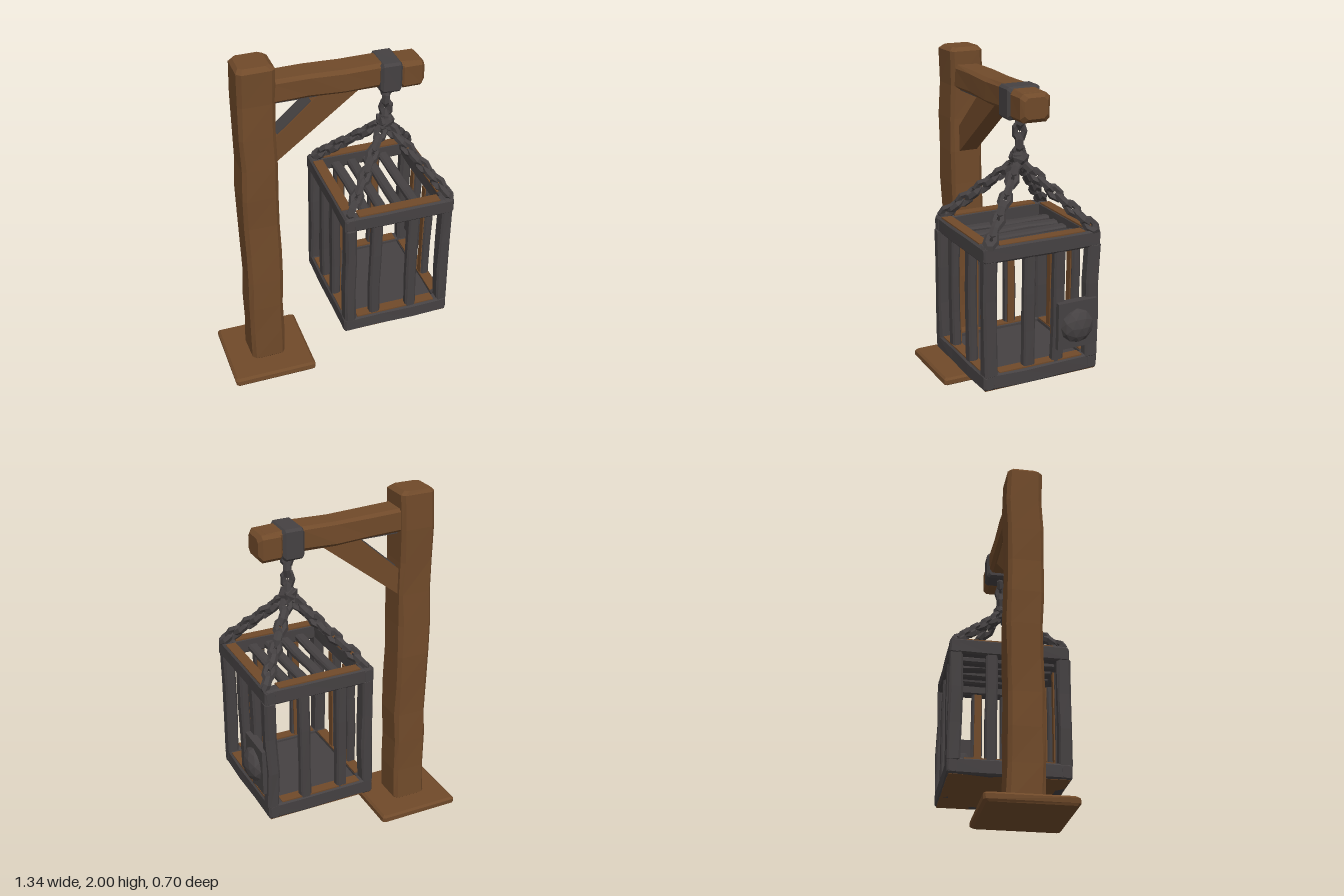
import * as THREE from 'three';

const wood = new THREE.MeshStandardMaterial({ color: 0x704a2a, flatShading: true });
wood.name = 'wood';
const iron = new THREE.MeshStandardMaterial({ color: 0x454142, flatShading: true });
iron.name = 'iron';

// Small seeded generator for the hand-hewn unevenness
let seed = 7;
const rnd = () => {
  seed = (seed * 16807) % 2147483647;
  return seed / 2147483647 - 0.5;
};

// Chamfered bar along local y, built from slightly uneven eight-sided sections
function hewnGeometry(w, h, d, wobble, chamfer) {
  const c = Math.min(chamfer, w * 0.3, d * 0.3, h * 0.3);
  const steps = Math.max(1, Math.round(h / 0.2));
  const levels = [[-h / 2, c]];
  for (let i = 0; i <= steps; i++) levels.push([-h / 2 + c + ((h - 2 * c) * i) / steps, 0]);
  levels.push([h / 2, c]);
  const pos = [], index = [];
  for (const [y, inset] of levels) {
    const x = w / 2 - inset, z = d / 2 - inset;
    const ox = rnd() * wobble, oz = rnd() * wobble;
    const ring = [[x, -z + c], [x, z - c], [x - c, z], [-x + c, z], [-x, z - c], [-x, -z + c], [-x + c, -z], [x - c, -z]];
    for (const [px, pz] of ring) pos.push(px + ox + rnd() * wobble * 0.5, y, pz + oz + rnd() * wobble * 0.5);
  }
  for (let j = 0; j < levels.length - 1; j++) {
    for (let i = 0; i < 8; i++) {
      const a = j * 8 + i, b = j * 8 + ((i + 1) % 8);
      index.push(a, a + 8, b, b, a + 8, b + 8);
    }
  }
  const top = (levels.length - 1) * 8;
  for (let i = 1; i < 7; i++) index.push(0, i, i + 1, top, top + i + 1, top + i);
  const g = new THREE.BufferGeometry();
  g.setAttribute('position', new THREE.Float32BufferAttribute(pos, 3));
  g.setIndex(index);
  g.computeVertexNormals();
  return g;
}

export function createModel() {
  const model = new THREE.Group();
  model.name = 'hangingCage';

  const add = (name, geometry, material, [x, y, z], parent = model) => {
    const m = new THREE.Mesh(geometry, material);
    m.name = name;
    m.position.set(x, y, z);
    parent.add(m);
    return m;
  };
  // Hewn bar given by its centre, world size and long axis
  const bar = (name, mat, axis, centre, [sx, sy, sz], wobble = 0.01, chamfer = 0.014, parent = model) => {
    const dims = { x: [sy, sx, sz], y: [sx, sy, sz], z: [sx, sz, sy] }[axis];
    const m = add(name, hewnGeometry(...dims, wobble, chamfer), mat, centre, parent);
    if (axis === 'x') m.rotation.z = -Math.PI / 2;
    if (axis === 'z') m.rotation.x = Math.PI / 2;
    return m;
  };
  const box = (name, mat, centre, size, parent = model) =>
    add(name, new THREE.BoxGeometry(...size), mat, centre, parent);

  // Gallows
  bar('base', wood, 'y', [-0.425, 0.026, 0], [0.49, 0.05, 0.47], 0.008, 0.012);
  bar('post', wood, 'y', [-0.43, 1.02, 0], [0.2, 1.96, 0.195], 0.012, 0.02);
  const arm = bar('arm', wood, 'x', [0.05, 1.832, 0], [0.82, 0.135, 0.155], 0.01, 0.018);
  arm.rotation.z -= 0.03;
  bar('armEnd', wood, 'x', [0.42, 1.812, 0], [0.14, 0.15, 0.17], 0.004, 0.02);
  bar('armBand', iron, 'x', [0.3, 1.816, 0], [0.12, 0.172, 0.19], 0.004, 0.014);
  box('armUnderside', iron, [-0.2, 1.766, 0], [0.25, 0.008, 0.1]);

  // Diagonal brace with a dark upper face
  const braceShape = new THREE.Shape([[-0.34, 1.4], [0.15, 1.78], [-0.07, 1.79], [-0.34, 1.55]].map((p) => new THREE.Vector2(...p)));
  add('brace', new THREE.ExtrudeGeometry(braceShape, { depth: 0.11, bevelEnabled: false }), wood, [0, 0, -0.055]);
  const bracePlate = box('bracePlate', iron, [-0.225, 1.655, 0], [0.25, 0.008, 0.09]);
  bracePlate.rotation.z = Math.atan2(0.24, 0.27);

  // Cage
  const cage = new THREE.Group();
  cage.name = 'cage';
  model.add(cage);
  const cx = 0.275, hx = 0.315, hz = 0.343, t = 0.065;
  const px = hx - t / 2, pz = hz - t / 2;

  for (const [level, y] of [['top', 1.105], ['bottom', 0.395]]) {
    for (const s of [-1, 1]) {
      bar(level + 'RailX', iron, 'x', [cx, y, s * pz], [hx * 2, 0.09, t], 0.006, 0.01, cage);
      bar(level + 'RailZ', iron, 'z', [cx + s * px, y, 0], [t, 0.09, hz * 2], 0.006, 0.01, cage);
      // Bare wood along the upper faces of the rails
      box(level + 'RailWoodX', wood, [cx, y + 0.046, s * (pz - 0.006)], [0.47, 0.008, 0.058], cage);
      box(level + 'RailWoodZ', wood, [cx + s * (px - 0.006), y + 0.046, 0], [0.058, 0.008, 0.5], cage);
    }
  }
  box('floor', iron, [cx, 0.39, 0], [hx * 2 - 0.06, 0.05, hz * 2 - 0.06], cage);
  box('floorUnderside', wood, [cx, 0.352, 0], [hx * 2 - 0.02, 0.008, hz * 2 - 0.02], cage);

  for (const sx of [-1, 1]) {
    for (const sz of [-1, 1]) {
      bar('cornerBar', iron, 'y', [cx + sx * px, 0.75, sz * (pz - 0.005)], [t, 0.66, 0.078], 0.012, 0.012, cage);
    }
  }
  // Upright bars, wooden on the inside
  for (const s of [-1, 1]) {
    for (const x of [0.147, 0.365]) {
      bar('uprightBar', iron, 'y', [x, 0.75, s * pz], [0.062, 0.66, 0.05], 0.008, 0.01, cage);
      box('uprightLining', wood, [x, 0.75, s * (pz - 0.028)], [0.04, 0.62, 0.008], cage);
    }
    for (const z of [0.072, -0.102]) {
      bar('sideBar', iron, 'y', [cx + s * px, 0.75, z], [0.05, 0.66, 0.066], 0.008, 0.01, cage);
      box('sideLining', wood, [cx + s * (px - 0.028), 0.75, z], [0.008, 0.62, 0.042], cage);
    }
  }
  // Roof slats
  for (let i = 0; i < 4; i++) {
    bar('roofSlat', iron, 'z', [0.12 + i * 0.095, 1.085, 0], [0.058, 0.04, 0.58], 0.008, 0.01, cage);
  }

  // Lock on the left side
  box('lockPlate', iron, [0.59, 0.645, -0.2], [0.045, 0.265, 0.235], cage);
  const knob = add('lockKnob', new THREE.IcosahedronGeometry(0.098, 1), iron, [0.612, 0.64, -0.195], cage);
  knob.scale.set(0.58, 1, 1);

  // Chains of chunky links, every second link turned a quarter
  const link = new THREE.TorusGeometry(0.024, 0.018, 5, 7);
  link.scale(1, 1.55, 1.15);
  const up = new THREE.Vector3(0, 1, 0);
  const chain = (name, from, to) => {
    const a = new THREE.Vector3(...from), b = new THREE.Vector3(...to);
    const dir = b.clone().sub(a);
    const n = Math.round(dir.length() / 0.062);
    const aim = new THREE.Quaternion().setFromUnitVectors(up, dir.clone().normalize());
    const group = new THREE.Group();
    group.name = name;
    for (let i = 0; i <= n; i++) {
      const p = a.clone().lerp(b, i / n);
      const m = add('link', link, iron, [p.x, p.y, p.z], group);
      const twist = new THREE.Quaternion().setFromAxisAngle(up, (i % 2) * Math.PI / 2 + 0.4 + rnd() * 0.5);
      m.quaternion.copy(aim).multiply(twist);
    }
    model.add(group);
  };
  chain('mainChain', [0.305, 1.72, 0], [0.305, 1.53, 0]);
  const ring = add('chainKnot', new THREE.IcosahedronGeometry(0.055, 0), iron, [0.305, 1.51, 0]);
  ring.rotation.set(0.3, 0.5, 0);
  for (const x of [0.015, 0.56]) {
    for (const z of [-0.29, 0.29]) chain('cornerChain', [0.3, 1.5, 0], [x, 1.175, z]);
  }
  return model;
}
